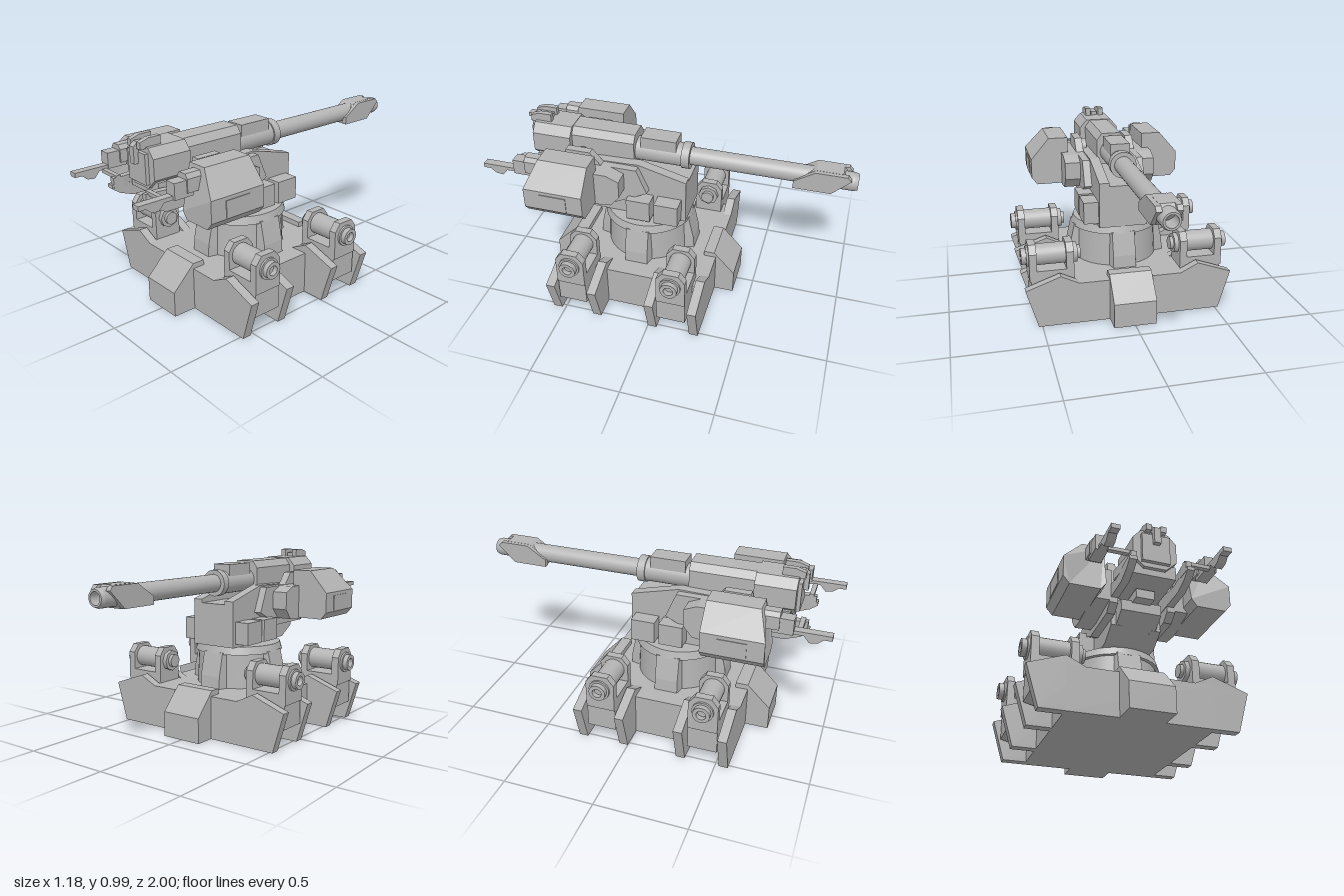
import * as THREE from 'three';

const steel = new THREE.MeshStandardMaterial({ color: 0xb4b4b4 });
steel.name = 'lightGreySteel';

export function createModel() {
  const root = new THREE.Group();
  root.name = 'gunTurret';

  const add = (name, geo, parent = root) => {
    const m = new THREE.Mesh(geo, steel);
    m.name = name;
    parent.add(m);
    return m;
  };
  // box from its limits on each axis
  const box = (name, x0, x1, y0, y1, z0, z1) => add(name,
    new THREE.BoxGeometry(Math.abs(x1 - x0), y1 - y0, z1 - z0)
      .translate((x0 + x1) / 2, (y0 + y1) / 2, (z0 + z1) / 2));
  const extrude = (pts, depth) => new THREE.ExtrudeGeometry(
    new THREE.Shape(pts.map(([a, b]) => new THREE.Vector2(a, b))), { depth, bevelEnabled: false });
  // [x, y] outline carried along z
  const front = (name, pts, z0, z1) => add(name, extrude(pts, z1 - z0).translate(0, 0, z0));
  // [z, y] outline carried along x
  const side = (name, pts, x0, x1) => add(name,
    extrude(pts, Math.abs(x1 - x0)).rotateY(-Math.PI / 2).translate(Math.max(x0, x1), 0, 0));
  // [x, z] outline carried along y
  const plan = (name, pts, y0, y1) => add(name,
    extrude(pts, y1 - y0).rotateX(Math.PI / 2).translate(0, y1, 0));
  const tubeX = (name, r, x0, x1, y, z, n = 24) => add(name,
    new THREE.CylinderGeometry(r, r, Math.abs(x1 - x0), n).rotateZ(Math.PI / 2)
      .translate((x0 + x1) / 2, y, z));
  const tubeZ = (name, r, z0, z1, n = 28) => add(name,
    new THREE.CylinderGeometry(r, r, z1 - z0, n).rotateX(Math.PI / 2)
      .translate(0, 0.835, (z0 + z1) / 2));
  const flip = (s, pts) => pts.map(([x, y]) => [s * x, y]);

  // base slab, end wedges and cross plates
  box('baseSlab', -0.39, 0.39, 0, 0.24, -0.29, 0.57);
  side('frontWedge', [[0.5, 0], [0.7, 0], [0.7, 0.14], [0.57, 0.27], [0.5, 0.27]], -0.12, 0.12);
  side('rearWedge', [[-0.22, 0], [-0.4, 0], [-0.4, 0.14], [-0.28, 0.27], [-0.22, 0.27]], -0.12, 0.12);
  for (const z of [-0.29, -0.05, 0.28, 0.52]) {
    front('crossPlate', [[-0.52, 0], [0.52, 0], [0.585, 0.22], [0.39, 0.29], [0.29, 0.24],
      [-0.29, 0.24], [-0.39, 0.29], [-0.585, 0.22]], z, z + 0.05);
  }

  // four side rollers in their brackets
  for (const s of [-1, 1]) for (const z of [-0.14, 0.43]) {
    front('rollerMount', flip(s, [[0.33, 0.07], [0.39, 0.07], [0.545, 0.11], [0.545, 0.3], [0.33, 0.3]]),
      z - 0.08, z + 0.08);
    for (const x of [0.305, 0.51]) {
      side('rollerBracket', [[z - 0.08, 0.24], [z + 0.08, 0.24], [z + 0.08, 0.4], [z + 0.045, 0.445],
        [z - 0.045, 0.445], [z - 0.08, 0.4]], s * x, s * (x + 0.042));
    }
    tubeX('roller', 0.06, s * 0.34, s * 0.52, 0.37, z);
    tubeX('innerRollerFlange', 0.06, s * 0.28, s * 0.31, 0.365, z, 8);
    tubeX('innerRollerCap', 0.037, s * 0.26, s * 0.29, 0.365, z);
    tubeX('outerRollerFlange', 0.058, s * 0.55, s * 0.563, 0.365, z);
    // hollow outer end
    add('outerRollerCap', new THREE.LatheGeometry([[0.025, 0], [0.046, 0], [0.046, 0.045], [0.026, 0.045],
      [0.026, 0.015], [0, 0.015]].flatMap(([r, h], i) => i ? [new THREE.Vector2(r, h), new THREE.Vector2(r, h)]
      : [new THREE.Vector2(r, h)]), 24).rotateZ(-s * Math.PI / 2).translate(s * 0.545, 0.365, z));
  }

  // pedestal drum with collar and buttresses
  const pedestal = new THREE.Group();
  pedestal.name = 'pedestal';
  pedestal.position.z = 0.14;
  root.add(pedestal);
  add('drum', new THREE.CylinderGeometry(0.235, 0.245, 0.2, 40).translate(0, 0.34, 0), pedestal);
  add('collar', new THREE.CylinderGeometry(0.242, 0.255, 0.045, 40).translate(0, 0.4575, 0), pedestal);
  for (let i = 0; i < 4; i++) {
    const g = new THREE.CylinderGeometry(0.245, 0.285, 0.2, 4, 1);
    // narrow plate, tapered towards its outer face and top
    const p = g.attributes.position;
    for (let k = 0; k < p.count; k++) p.setXYZ(k, 0, 0, 0);
    const b = extrude([[0.15, 0.24], [0.285, 0.24], [0.28, 0.31], [0.25, 0.445], [0.15, 0.445]], 0.2)
      .translate(0, 0, -0.1);
    const q = b.attributes.position;
    for (let k = 0; k < q.count; k++) if (q.getX(k) > 0.2) q.setZ(k, q.getZ(k) * 0.65);
    b.computeVertexNormals();
    add('buttress', b, pedestal).rotation.y = i * Math.PI / 2;
  }

  // turret body
  side('turretBody', [[-0.11, 0.48], [0.4, 0.48], [0.58, 0.59], [0.58, 0.65], [0.4, 0.72], [-0.11, 0.72]],
    -0.11, 0.11);
  box('noseBlock', -0.05, 0.05, 0.64, 0.69, 0.5, 0.64);
  for (const s of [-1, 1]) {
    side('bodyWall', [[-0.11, 0.48], [0.4, 0.48], [0.5, 0.54], [0.5, 0.8], [0.16, 0.81], [-0.11, 0.74]],
      s * 0.08, s * 0.137);
    side('cradlePlate', [[0.1, 0.66], [0.28, 0.57], [0.55, 0.57], [0.6, 0.61], [0.6, 0.68], [0.56, 0.87],
      [0.42, 0.87], [0.36, 0.8], [0.16, 0.8]], s * 0.135, s * 0.18);
    tubeX('trunnion', 0.05, s * 0.1, s * 0.14, 0.8, 0.49);
    box('rearSideBox', s * 0.13, s * 0.222, 0.5, 0.625, -0.085, 0.05);
    box('frontSideBox', s * 0.13, s * 0.222, 0.5, 0.625, 0.075, 0.21);

    // armoured side pods
    side('podCheek', [[0.23, 0.67], [0.28, 0.61], [0.37, 0.6], [0.6, 0.62], [0.6, 0.8], [0.3, 0.8],
      [0.23, 0.77]], s * 0.17, s * 0.27);
    const pod = front('sidePod', flip(s, [[0.23, 0.89], [0.345, 0.89], [0.453, 0.765], [0.453, 0.65], [0.42, 0.61],
      [0.26, 0.61], [0.23, 0.65]]), 0.37, 0.7);
    // lean the upper front edge back
    const a = pod.geometry.attributes.position;
    for (let k = 0; k < a.count; k++) if (a.getZ(k) > 0.6 && a.getY(k) > 0.85) a.setZ(k, 0.65);
    pod.geometry.computeVertexNormals();
    box('podPanel', s * 0.45, s * 0.457, 0.655, 0.745, 0.46, 0.61);

    // sight heads with their rods
    front('sightHead', flip(s, [[0.25, 0.78], [0.332, 0.78], [0.332, 0.85], [0.315, 0.873], [0.268, 0.873],
      [0.25, 0.85]]), 0.6, 0.74);
    box('sightNeck', s * 0.26, s * 0.325, 0.76, 0.845, 0.7, 0.81);
    side('sightRod', [[0.78, 0.76], [0.86, 0.76], [0.89, 0.725], [0.93, 0.73], [0.96, 0.755], [1, 0.755],
      [1, 0.78], [0.78, 0.78]], s * 0.265, s * 0.31);
    box('sightCrossbar', s * 0.13, s * 0.27, 0.745, 0.765, 0.82, 0.845);

    // control arms beside the breech
    side('controlArm', [[0.5, 0.64], [0.75, 0.64], [0.83, 0.67], [0.87, 0.7], [0.87, 0.72], [0.8, 0.72],
      [0.7, 0.7], [0.5, 0.73]], s * 0.132, s * 0.172);
    plan('controlGrip', flip(s, [[0.145, 0.66], [0.18, 0.66], [0.165, 0.8], [0.16, 0.86], [0.13, 0.86],
      [0.13, 0.8]]), 0.7, 0.755);
  }

  // breech and receiver
  front('breech', [[-0.06, 0.735], [0.06, 0.735], [0.118, 0.79], [0.118, 0.9], [0.075, 0.948],
    [-0.075, 0.948], [-0.118, 0.9], [-0.118, 0.79]], 0.56, 0.78);
  box('breechShelf', -0.12, 0.12, 0.7, 0.775, 0.5, 0.76);
  box('breechDoor', -0.075, 0.075, 0.76, 0.92, 0.77, 0.8);
  front('receiver', [[-0.085, 0.76], [0.085, 0.76], [0.085, 0.905], [0.055, 0.945], [-0.055, 0.945],
    [-0.085, 0.905]], 0.2, 0.6);
  box('receiverRail', -0.055, 0.055, 0.86, 0.937, -0.03, 0.17);
  for (const x of [-0.055, 0.025]) {
    side('hookSight', [[0.69, 0.93], [0.69, 0.992], [0.76, 0.992], [0.81, 0.975], [0.81, 0.94], [0.76, 0.94]],
      x, x + 0.03);
  }
  side('firingLever', [[0.7, 0.94], [0.7, 0.97], [0.8, 0.97], [0.825, 0.95], [0.825, 0.86], [0.795, 0.86],
    [0.795, 0.94]], -0.018, 0.018);

  // barrel
  tubeZ('barrelJacket', 0.066, -0.08, 0.25);
  tubeZ('barrelCollar', 0.074, -0.105, -0.06);
  tubeZ('barrel', 0.05, -0.9, 0);
  const muzzle = [[0.05, 0], [0.05, 0.18], [0.043, 0.2], [0.032, 0.2], [0.032, 0.1], [0, 0.1]]
    .flatMap(([r, h]) => [new THREE.Vector2(r, h), new THREE.Vector2(r, h)]);
  add('muzzle', new THREE.LatheGeometry(muzzle, 28).rotateX(-Math.PI / 2).translate(0, 0.835, -0.8));
  for (const s of [-1, 1]) {
    side('muzzleBrake', [[-0.67, 0.777], [-0.87, 0.777], [-0.965, 0.87], [-0.945, 0.892], [-0.78, 0.892],
      [-0.67, 0.82]], s * 0.035, s * 0.064);
  }
  side('muzzleBrakeCore', [[-0.68, 0.775], [-0.87, 0.775], [-0.95, 0.855], [-0.92, 0.893], [-0.78, 0.893],
    [-0.68, 0.83]], -0.04, 0.04);
  return root;
}
